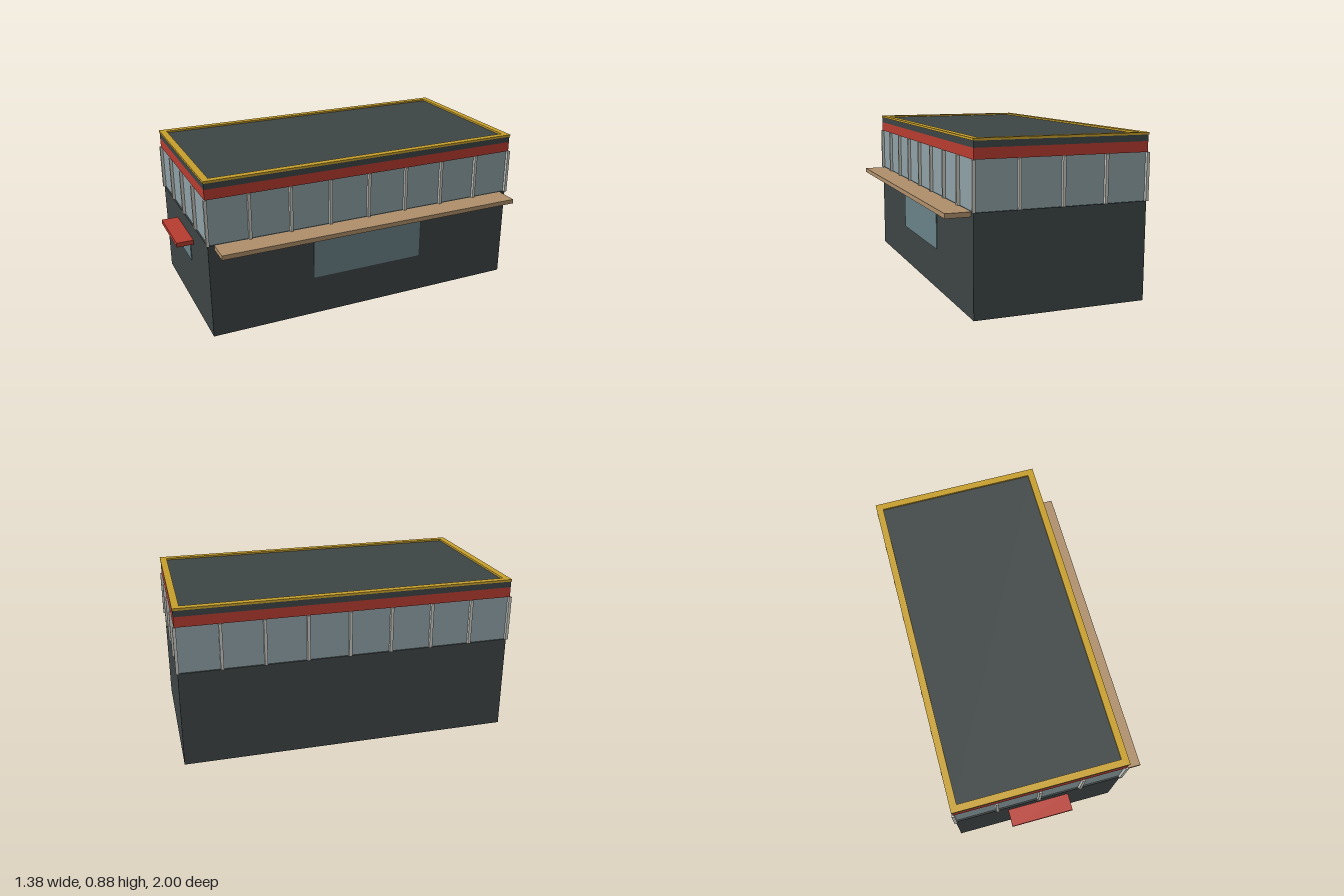
import * as THREE from 'three';

const mat = (name, color, extra = {}) => {
  const m = new THREE.MeshStandardMaterial({ color, ...extra });
  m.name = name;
  return m;
};

export function createModel() {
  const charcoal = mat('charcoal wall', 0x3e4545);
  const red = mat('red trim', 0xb83c30);
  const gold = mat('gold coping', 0xc8a02c);
  const wood = mat('wood', 0xb0906c);
  const glass = mat('upper glass', 0x8fa1a6);
  const darkGlass = mat('lower glass', 0x6a8389);
  const metal = mat('pale metal', 0xc8c8c2);

  const W = 0.935, L = 1.815;            // building footprint
  const SILL = 0.525, HEAD = 0.775;      // glazed band
  const model = new THREE.Group();
  model.name = 'building';

  // Box given by its min and max corners
  const box = (name, material, [x0, y0, z0], [x1, y1, z1], parent = model) => {
    const mesh = new THREE.Mesh(new THREE.BoxGeometry(x1 - x0, y1 - y0, z1 - z0), material);
    mesh.position.set((x0 + x1) / 2, (y0 + y1) / 2, (z0 + z1) / 2);
    mesh.name = name;
    parent.add(mesh);
    return mesh;
  };
  // Layer of the building, inset from the footprint
  const layer = (name, material, y0, y1, inset = 0) =>
    box(name, material, [-W / 2 + inset, y0, -L / 2 + inset], [W / 2 - inset, y1, L / 2 - inset]);

  layer('lowerWalls', charcoal, 0, SILL);
  layer('glazedBand', glass, SILL, HEAD, 0.008);
  layer('redFascia', red, HEAD, 0.83);
  layer('roof', charcoal, 0.83, 0.865);

  // Gold coping: rectangular ring around the roof
  const rect = (path, hw, hl) => {
    path.moveTo(-hw, -hl);
    path.lineTo(hw, -hl);
    path.lineTo(hw, hl);
    path.lineTo(-hw, hl);
    path.closePath();
    return path;
  };
  const ring = rect(new THREE.Shape(), W / 2 + 0.003, L / 2 + 0.003);
  ring.holes.push(rect(new THREE.Path(), W / 2 - 0.034, L / 2 - 0.034));
  const coping = new THREE.Mesh(
    new THREE.ExtrudeGeometry(ring, { depth: 0.012, bevelEnabled: false }).rotateX(-Math.PI / 2), gold);
  coping.position.y = 0.863;
  coping.name = 'roofCoping';
  model.add(coping);

  // Mullions: four bays on the short sides, eight on the long sides
  const mullions = new THREE.Group();
  mullions.name = 'mullions';
  model.add(mullions);
  const h = 0.008;
  const post = (x, z) => box('mullion', metal, [x - h, SILL, z - h], [x + h, HEAD, z + h], mullions);
  for (const side of [-1, 1]) {
    for (let i = 0; i <= 4; i++) post(-W / 2 + (W * i) / 4, (side * L) / 2);
    for (let i = 1; i < 8; i++) post((side * W) / 2, -L / 2 + (L * i) / 8);
  }

  // Wooden shelf and serving window on the long left side
  box('woodShelf', wood, [W / 2, 0.5, -0.873], [W / 2 + 0.13, SILL, 0.873]);
  box('sideWindow', darkGlass, [W / 2 - 0.002, 0.222, -0.328], [W / 2 + 0.004, 0.48, 0.328]);

  // Red awning and small window on the front
  box('frontAwning', red, [-0.173, 0.411, L / 2], [0.173, 0.436, 1.0]);
  box('frontWindow', darkGlass, [-0.105, 0.285, L / 2 - 0.002], [0.105, 0.393, L / 2 + 0.004]);

  // The building stands turned on its plot
  model.rotation.y = THREE.MathUtils.degToRad(-10.4);
  model.position.set(-0.058, 0, -0.018);
  const root = new THREE.Group();
  root.name = 'cornerBuilding';
  root.add(model);
  return root;
}
